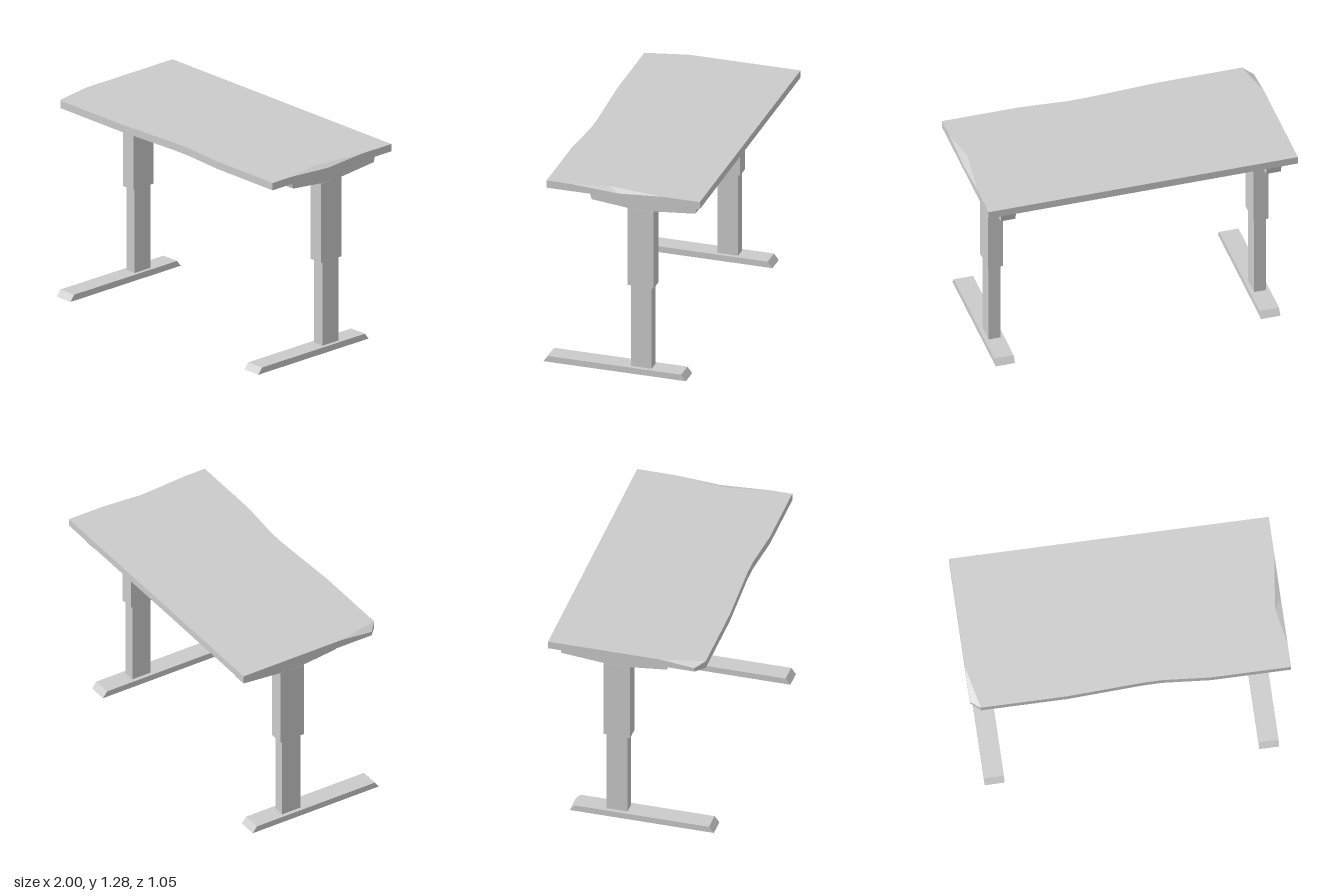
import * as THREE from 'three';

const material = new THREE.MeshStandardMaterial({ color: 0xcccccc, flatShading: true });

function addMesh(parent, name, geometry) {
  const mesh = new THREE.Mesh(geometry, material);
  mesh.name = name;
  parent.add(mesh);
  return mesh;
}

// Side profile given as [z, y] points, extruded along x and centred on x = 0
function sideProfile(points, width) {
  const shape = new THREE.Shape(points.map(([z, y]) => new THREE.Vector2(-z, y)));
  return new THREE.ExtrudeGeometry(shape, { depth: width, bevelEnabled: false })
    .translate(0, 0, -width / 2)
    .rotateY(Math.PI / 2);
}

// Box spanning y0..y1 and z0..z1, centred on x = 0
function post(width, y0, y1, z0, z1) {
  return new THREE.BoxGeometry(width, y1 - y0, z1 - z0)
    .translate(0, (y0 + y1) / 2, (z0 + z1) / 2);
}

// Slab with a shallow front recess, a cut front corner and a scooped side edge
function tabletopGeometry() {
  const bottom = 1.233, top = 1.282, back = -0.523, front = 0.476;
  const v = (x, z, y = top) => new THREE.Vector3(x, y, z);

  const cornerStart = v(-1, 0.2), corner = v(-1, 0.42, 1.258), cornerEnd = v(-0.94, front);
  const scoopFront = v(1, 0.33), scoopLow = v(1, 0.01, 1.262), scoopIn = v(0.955, 0.08);
  const scoopBack = v(1, -0.28);
  const frontEdge = [cornerEnd, v(-0.4, front), v(0.08, 0.452), v(0.2, 0.452), v(0.5, front), v(1, front)];
  const backEdge = [scoopBack, v(1, back), v(-1, back)];

  const rim = [cornerStart, corner, ...frontEdge, scoopFront, scoopLow, ...backEdge];
  const topLoop = [cornerStart, ...frontEdge, scoopFront, scoopIn, ...backEdge];
  const base = rim.map((p) => v(p.x, p.z, bottom));

  const triangles = [];
  const flat = (loop) => THREE.ShapeUtils.triangulateShape(
    loop.map((p) => new THREE.Vector2(p.x, -p.z)), []);

  // top and underside
  flat(topLoop).forEach(([a, b, c]) => triangles.push(topLoop[a], topLoop[b], topLoop[c]));
  flat(base).forEach(([a, b, c]) => triangles.push(base[a], base[c], base[b]));
  // edge band
  rim.forEach((p, i) => {
    const j = (i + 1) % rim.length;
    triangles.push(base[i], base[j], rim[j], base[i], rim[j], p);
  });
  // sloped corner and side scoop
  triangles.push(cornerStart, corner, cornerEnd);
  triangles.push(scoopFront, scoopLow, scoopIn, scoopLow, scoopBack, scoopIn);

  const geometry = new THREE.BufferGeometry().setFromPoints(triangles);
  geometry.computeVertexNormals();
  return geometry;
}

function createLeg(name) {
  const leg = new THREE.Group();
  leg.name = name;
  addMesh(leg, 'foot', sideProfile([[0.523, 0], [-0.406, 0], [-0.375, 0.04], [0.492, 0.04]], 0.125));
  addMesh(leg, 'lowerColumn', post(0.076, 0.04, 0.6, -0.174, -0.04));
  addMesh(leg, 'upperColumn', post(0.097, 0.597, 1.125, -0.191, -0.02));
  addMesh(leg, 'topBracket', sideProfile([
    [-0.02, 1.125], [-0.191, 1.125], [-0.463, 1.15], [-0.485, 1.233], [0.236, 1.233], [0.214, 1.15],
  ], 0.095));
  return leg;
}

export function createModel() {
  const desk = new THREE.Group();
  desk.name = 'heightAdjustableDesk';
  addMesh(desk, 'tabletop', tabletopGeometry());

  for (const [name, x] of [['leftLeg', 0.857], ['rightLeg', -0.86]]) {
    const leg = createLeg(name);
    leg.position.x = x;
    desk.add(leg);
  }
  return desk;
}
